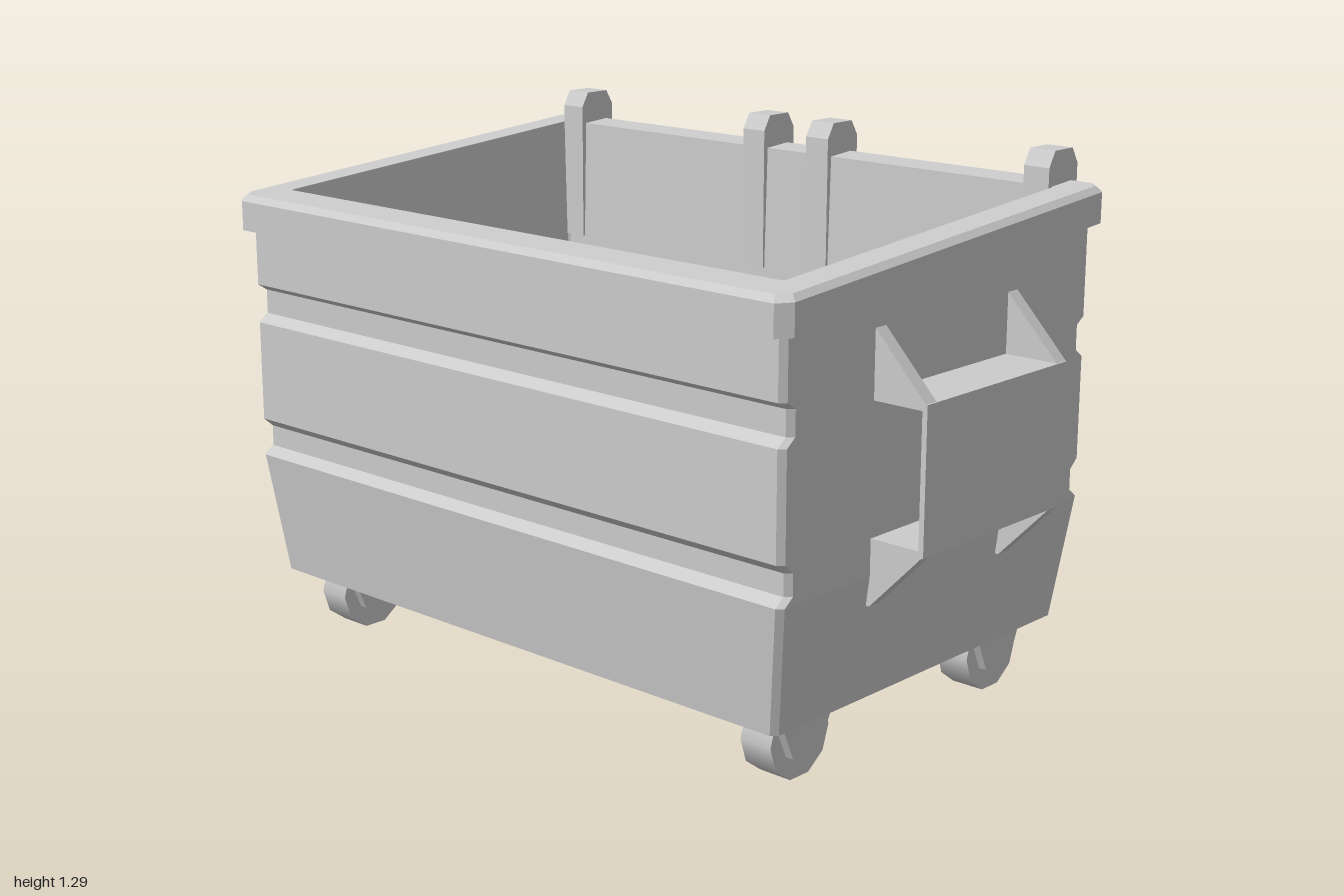
import * as THREE from 'three';

const SLOPE = 0.0726; // the rim rises toward the back
const flat = new THREE.MeshStandardMaterial({ color: 0xcccccc, flatShading: true });
const smooth = new THREE.MeshStandardMaterial({ color: 0xcccccc });

// Rectangle loop with chamfered corners, counter-clockwise from above
function ring(y, w, front, back, c, slope = 0) {
  return [
    [w - c, front], [w, front - c], [w, back + c], [w - c, back],
    [c - w, back], [-w, back + c], [-w, front - c], [c - w, front],
  ].map(([x, z]) => [x, y - slope * z, z]);
}

// Skin a stack of loops and close both ends
function loft(rings) {
  const n = rings[0].length, index = [];
  for (let r = 0; r < rings.length - 1; r++) {
    for (let i = 0; i < n; i++) {
      const a = r * n + i, b = r * n + (i + 1) % n;
      index.push(a, b, b + n, a, b + n, a + n);
    }
  }
  const last = (rings.length - 1) * n;
  for (let i = 1; i < n - 1; i++) {
    index.push(0, i + 1, i, last, last + i, last + i + 1);
  }
  const g = new THREE.BufferGeometry();
  g.setAttribute('position', new THREE.Float32BufferAttribute(rings.flat(2), 3));
  g.setIndex(index);
  const out = g.toNonIndexed();
  out.computeVertexNormals();
  return out;
}

// Extrude a (z, y) outline across x, centred on x = 0
function sidePlate(points, width) {
  const shape = new THREE.Shape(points.map(([z, y]) => new THREE.Vector2(-z, y)));
  const g = new THREE.ExtrudeGeometry(shape, { depth: width, bevelEnabled: false });
  return g.translate(0, 0, -width / 2).rotateY(Math.PI / 2);
}

// Extrude an (x, y) outline along z, centred on z = 0
function frontPlate(points, depth) {
  const shape = new THREE.Shape(points.map(([x, y]) => new THREE.Vector2(x, y)));
  return new THREE.ExtrudeGeometry(shape, { depth, bevelEnabled: false }).translate(0, 0, -depth / 2);
}

function add(parent, name, geometry, x = 0, y = 0, z = 0, material = flat) {
  const m = new THREE.Mesh(geometry, material);
  m.name = name;
  m.position.set(x, y, z);
  parent.add(m);
  return m;
}

export function createModel() {
  const model = new THREE.Group();
  model.name = 'wasteContainer';

  // Hull: tapered base, two grooves front and back, sloped rim, hollow inside
  const wall = (y, inset = 0) => ring(y, 0.86, 0.56 - inset, -0.552 + inset, 0.014);
  const rings = [ring(0.16, 0.82, 0.525, -0.52, 0.014), wall(0.465)];
  for (const [y0, y1, y2, y3] of [[0.465, 0.485, 0.537, 0.56], [0.81, 0.83, 0.89, 0.907]]) {
    rings.push(wall(y0), wall(y1, 0.026), wall(y2, 0.026), wall(y3));
  }
  rings.splice(1, 1);
  rings.push(
    ring(1.09, 0.86, 0.56, -0.552, 0.014, SLOPE),
    ring(1.09, 0.887, 0.59, -0.58, 0.03, SLOPE),
    ring(1.163, 0.887, 0.59, -0.58, 0.03, SLOPE),
    ring(1.177, 0.872, 0.575, -0.565, 0.025, SLOPE),
    ring(1.177, 0.795, 0.485, -0.487, 0.005, SLOPE),
    ring(0.2, 0.77, 0.468, -0.46, 0.005),
  );
  add(model, 'hull', loft(rings));

  // Hinge hooks over the back rim
  const hook = sidePlate([
    [-0.473, 0.9], [-0.473, 1.257], [-0.495, 1.295], [-0.567, 1.295], [-0.59, 1.257],
    [-0.59, 1.03], [-0.555, 1.0], [-0.52, 1.0], [-0.52, 0.9],
  ], 0.07);
  for (const x of [-0.76, -0.108, 0.1, 0.756]) add(model, 'hingeHook', hook, x);

  // Lifting pockets: open sleeve with triangular gussets on each side
  const sleeve = frontPlate([
    [0.85, 0.535], [1, 0.535], [1, 0.872], [0.85, 0.872],
    [0.85, 0.857], [0.987, 0.857], [0.987, 0.55], [0.85, 0.55],
  ], 0.52);
  const upper = frontPlate([[0.85, 0.868], [1, 0.868], [0.86, 1.015], [0.85, 1.015]], 0.036);
  const lower = frontPlate([[0.85, 0.54], [0.85, 0.395], [0.86, 0.395], [1, 0.54]], 0.036);
  for (const side of [0, Math.PI]) {
    const pocket = new THREE.Group();
    pocket.name = side ? 'rightPocket' : 'leftPocket';
    pocket.rotation.y = side;
    add(pocket, 'sleeve', sleeve);
    for (const z of [-0.242, 0.242]) {
      add(pocket, 'upperGusset', upper, 0, 0, z);
      add(pocket, 'lowerGusset', lower, 0, 0, z);
    }
    model.add(pocket);
  }

  // Casters
  const bracket = sidePlate([[-0.093, 0.165], [-0.047, 0.06], [0.047, 0.06], [0.093, 0.165]], 0.128);
  const wheel = new THREE.CylinderGeometry(0.1, 0.1, 0.086, 10).rotateZ(Math.PI / 2);
  for (const x of [-0.715, 0.713]) {
    for (const z of [-0.362, 0.362]) {
      const caster = new THREE.Group();
      caster.name = 'caster';
      caster.position.set(x, 0, z);
      add(caster, 'bracket', bracket);
      add(caster, 'wheel', wheel, 0, 0.0955, 0, smooth);
      model.add(caster);
    }
  }
  return model;
}
